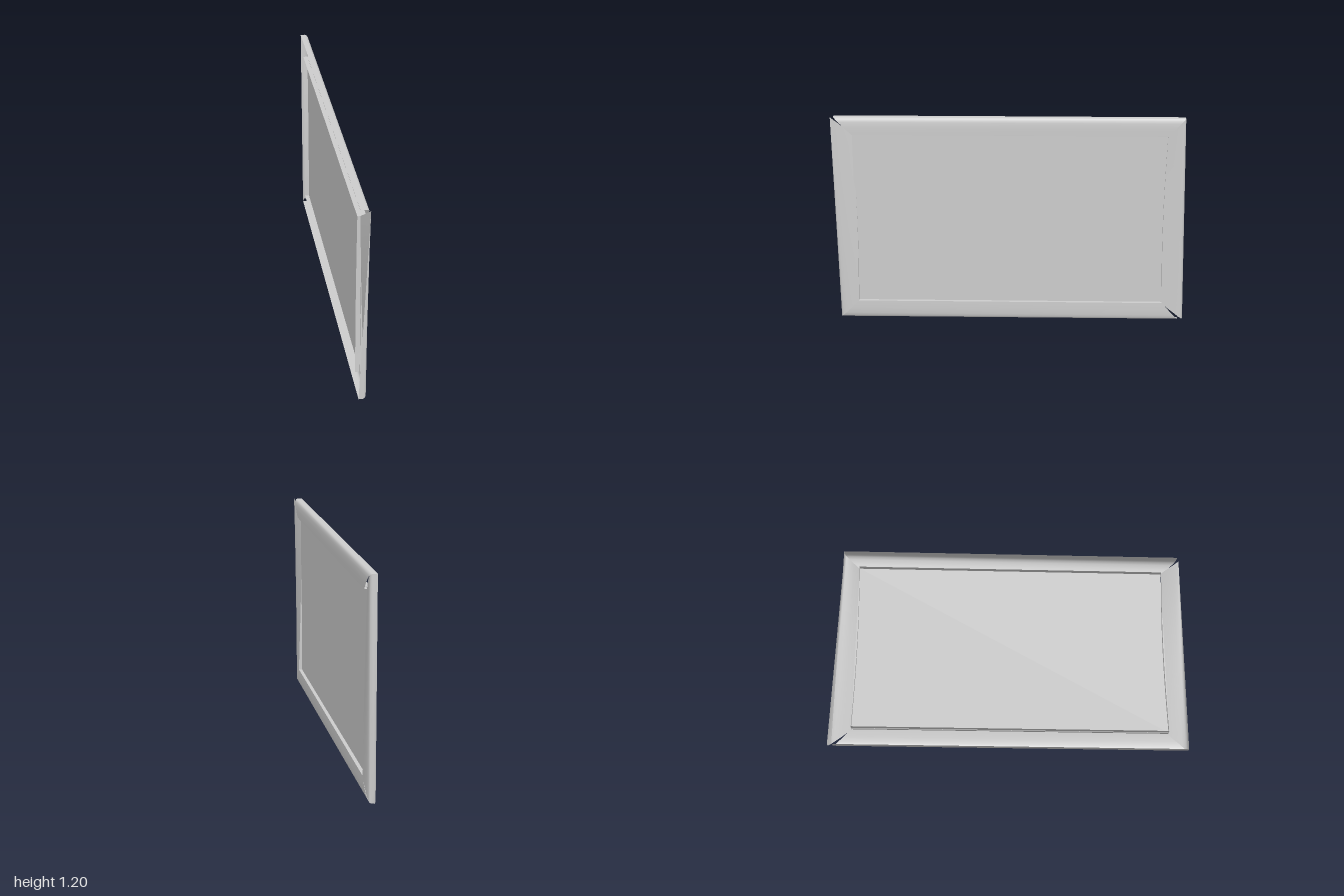
import * as THREE from 'three';

const H = 1.2;      // overall height
const WIDTH = 0.1;  // rail width
const BACK = -0.025;
const material = new THREE.MeshStandardMaterial({ color: 0xcccccc, side: THREE.DoubleSide });
const { lerp } = THREE.MathUtils;

// Hollow moulding as [distance in from the outer edge, x]: rounded outside, then the inner lip
const STRIPS = {
  moulding: [[0, BACK], [0, 0.002], [0.004, 0.011], [0.012, 0.016], [0.028, 0.0195], [0.06, 0.021], [WIDTH, 0.02]],
  innerLip: [[WIDTH, 0.02], [WIDTH, BACK]],
};

// Surface through a strip of the moulding; place(point, s) gives the position at s along the rail
function strip(profile, place, steps) {
  const pos = [], idx = [], n = profile.length;
  for (let i = 0; i <= steps; i++)
    for (const p of profile) pos.push(...place(p, i / steps));
  for (let i = 0; i < steps; i++)
    for (let j = 0; j < n - 1; j++) {
      const a = i * n + j, b = a + n;
      idx.push(a, b, a + 1, b, b + 1, a + 1);
    }
  const g = new THREE.BufferGeometry();
  g.setAttribute('position', new THREE.Float32BufferAttribute(pos, 3));
  g.setIndex(idx);
  g.computeVertexNormals();
  return g;
}

function rail(name, place, steps) {
  const group = new THREE.Group();
  group.name = name;
  for (const [part, profile] of Object.entries(STRIPS)) {
    const mesh = new THREE.Mesh(strip(profile, place, steps), material);
    mesh.name = part;
    group.add(mesh);
  }
  return group;
}

export function createModel() {
  const model = new THREE.Group();
  model.name = 'pictureFrame';

  // Straight mitred rails along the top and bottom
  model.add(rail('topRail', ([t, x], s) => [x, H - t, lerp(0.985 - t, -0.97 + t * 0.95, s)], 1));
  model.add(rail('bottomRail', ([t, x], s) => [x, t * 1.05, lerp(0.985 - t * 1.05, -0.97 + t * 0.95, s)], 1));

  // Side rails are twisted along their length
  const bulge = (t, s) => 0.1 * t * Math.sin(Math.PI * s);

  // Left rail: opens at the top into a sheet sloping back towards the panel
  model.add(rail('leftRail', ([t, x], s) => {
    const topX = t === WIDTH && x === BACK ? BACK : 0.02 - 0.3 * t;
    return [lerp(x, topX, s), lerp(t, H - t, s), lerp(0.985 - t * 1.05, 1 - t * 1.15, s) - bulge(t, s)];
  }, 16));

  // Right rail: its outer edge flares out at the bottom, its inner edge sinks at the top
  model.add(rail('rightRail', ([t, x], s) => {
    const back = x === BACK;
    const outerEdge = t === 0 && !back;
    const bottomX = outerEdge ? -0.013 : x;
    const bottomZ = t === 0 && back ? -0.975 : -1 + t * 1.25;
    const topX = back ? x : x - 0.15 * t;
    return [lerp(bottomX, topX, s), lerp(t, H - t, s), lerp(bottomZ, -0.97 + t * 0.95, s) + bulge(t, s)];
  }, 16));

  // Flat panel held between the inner lips
  const panel = new THREE.Mesh(new THREE.PlaneGeometry(1.76, 1.0), material);
  panel.name = 'panel';
  panel.rotation.y = Math.PI / 2;
  panel.position.set(0, 0.602, 0.004);
  model.add(panel);

  return model;
}
